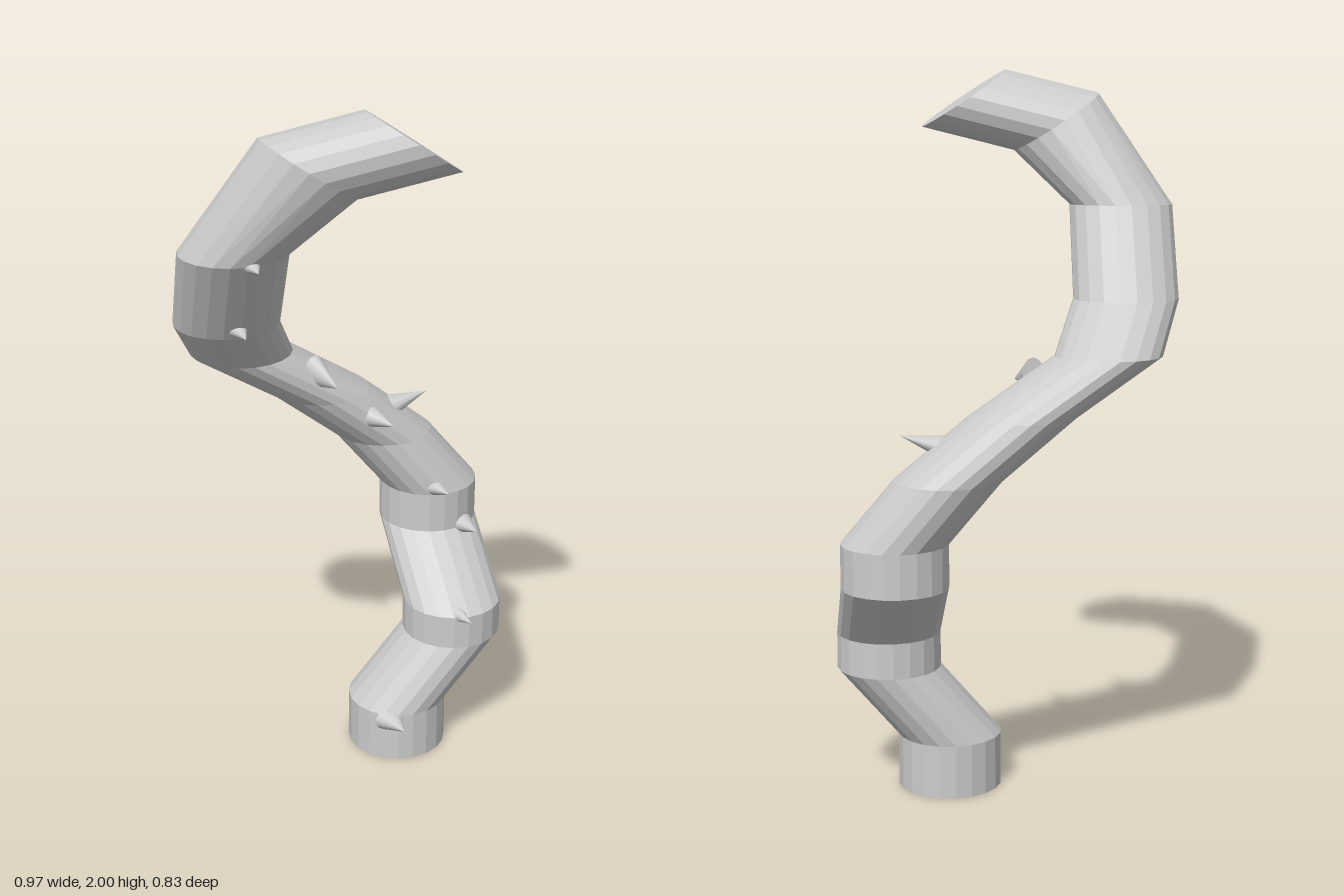
import * as THREE from 'three';

const SIDES = 20, RADIUS = 0.145;

// Ring centres along the stem: x, y, z, tilt about z
const RINGS = [
  [0.165, 0, -0.03, 0], [0.165, 0.15, -0.03, 0],
  [0.335, 0.35, -0.03, 0], [0.335, 0.45, -0.03, 0],
  [0.335, 0.63, -0.245, 0], [0.335, 0.75, -0.245, 0],
  [0.195, 0.92, -0.268, 0], [-0.005, 1.08, -0.25, 0],
  [-0.245, 1.235, -0.215, 0], [-0.32, 1.375, -0.08, 0],
  [-0.34, 1.625, 0.09, 0],
  [-0.175, 1.855, 0.205, -0.588], [0.08, 1.92, 0.27, -0.588],
];

// Thorns: base centre, tip, base half-width, base half-height
const THORNS = [
  [[0.10, 0.13, 0.08], [0.115, 0.135, 0.17], 0.045, 0.035],
  [[0.305, 0.45, 0.07], [0.325, 0.45, 0.155], 0.03, 0.027],
  [[0.40, 0.635, -0.125], [0.415, 0.64, -0.04], 0.036, 0.03],
  [[0.305, 0.768, -0.13], [0.325, 0.775, -0.045], 0.033, 0.028],
  [[0.20, 1.0, -0.228], [0.318, 1.035, -0.225], 0.047, 0.032],
  [[0.11, 1.015, -0.145], [0.155, 1.01, -0.055], 0.038, 0.036],
  [[-0.055, 1.175, -0.145], [-0.018, 1.155, -0.04], 0.035, 0.05],
  [[-0.33, 1.405, 0.05], [-0.325, 1.40, 0.14], 0.035, 0.027],
  [[-0.33, 1.625, 0.20], [-0.325, 1.62, 0.275], 0.035, 0.027],
];

// Faceted tube skinned over the rings, closed at both ends
function stemGeometry() {
  const pos = [], index = [];
  for (const [x, y, z, tilt] of RINGS) {
    for (let i = 0; i < SIDES; i++) {
      const a = (i / SIDES) * Math.PI * 2, c = RADIUS * Math.cos(a);
      pos.push(x + c * Math.cos(tilt), y + c * Math.sin(tilt), z + RADIUS * Math.sin(a));
    }
  }
  for (let r = 0; r < RINGS.length - 1; r++) {
    for (let i = 0; i < SIDES; i++) {
      const a = r * SIDES + i, b = r * SIDES + (i + 1) % SIDES;
      index.push(a, a + SIDES, b, b, a + SIDES, b + SIDES);
    }
  }
  const last = (RINGS.length - 1) * SIDES;
  for (let i = 1; i < SIDES - 1; i++) {
    index.push(0, i, i + 1, last, last + i + 1, last + i);
  }
  const g = new THREE.BufferGeometry();
  g.setAttribute('position', new THREE.Float32BufferAttribute(pos, 3));
  g.setIndex(index);
  const flat = g.toNonIndexed();
  flat.computeVertexNormals();
  return flat;
}

// Cone pointing along +z with its base at the origin
function makeThorn([base, tip, w, h], material) {
  const from = new THREE.Vector3(...base), to = new THREE.Vector3(...tip);
  const g = new THREE.ConeGeometry(1, 1, 14);
  g.translate(0, 0.5, 0).rotateX(Math.PI / 2).scale(w, h, from.distanceTo(to));
  const thorn = new THREE.Mesh(g, material);
  thorn.position.copy(from);
  thorn.lookAt(to);
  return thorn;
}

export function createModel() {
  const model = new THREE.Group();
  model.name = 'thornyVine';

  const stem = new THREE.Mesh(stemGeometry(),
    new THREE.MeshStandardMaterial({ color: 0xcccccc, flatShading: true }));
  stem.name = 'stem';
  model.add(stem);

  const thornMaterial = new THREE.MeshStandardMaterial({ color: 0xcccccc });
  THORNS.forEach((t, i) => {
    const thorn = makeThorn(t, thornMaterial);
    thorn.name = `thorn${i + 1}`;
    model.add(thorn);
  });
  return model;
}
